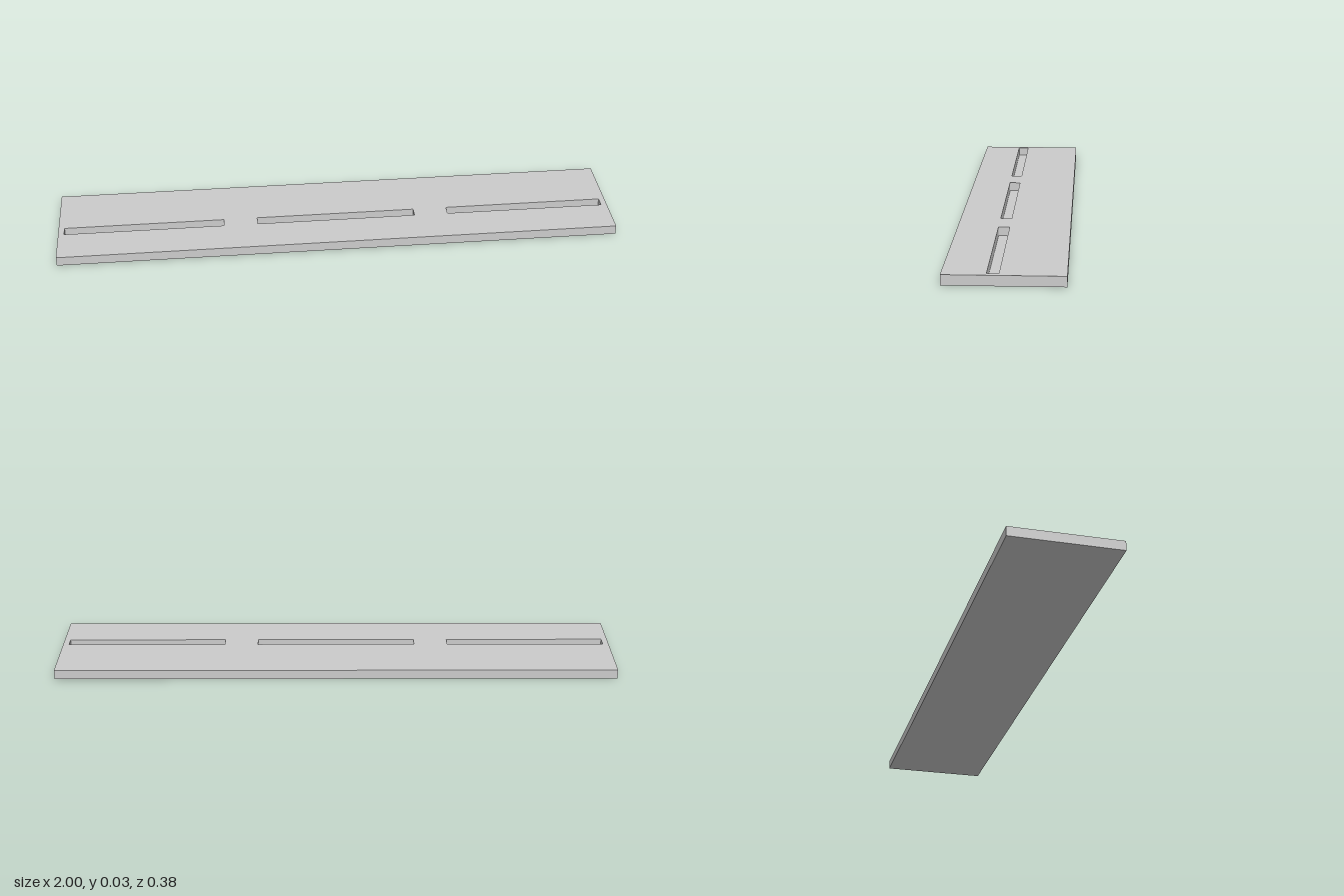
import * as THREE from 'three';

const LENGTH = 2, DEPTH = 0.384, HEIGHT = 0.034, SHEET = 0.003;

function rectangle(target, x0, x1, y0, y1) {
  target.moveTo(x0, y0);
  target.lineTo(x1, y0);
  target.lineTo(x1, y1);
  target.lineTo(x0, y1);
  target.closePath();
  return target;
}

export function createModel() {
  const group = new THREE.Group();
  group.name = 'slottedPlate';
  const material = new THREE.MeshStandardMaterial({ color: 0xcccccc });

  // Slab with three long slots, slightly in front of the centre line
  const outline = rectangle(new THREE.Shape(), -LENGTH / 2, LENGTH / 2, -DEPTH / 2, DEPTH / 2);
  for (const x of [-0.693, 0, 0.693]) {
    outline.holes.push(rectangle(new THREE.Path(), x - 0.286, x + 0.286, -0.053, -0.015));
  }
  const slabGeometry = new THREE.ExtrudeGeometry(outline, { depth: HEIGHT - SHEET, bevelEnabled: false });
  slabGeometry.rotateX(-Math.PI / 2);
  const slab = new THREE.Mesh(slabGeometry, material);
  slab.name = 'slottedSlab';
  slab.position.y = SHEET;
  group.add(slab);

  // Thin bottom sheet that closes the slots
  const sheet = new THREE.Mesh(new THREE.BoxGeometry(LENGTH, SHEET, DEPTH), material);
  sheet.name = 'bottomSheet';
  sheet.position.y = SHEET / 2;
  group.add(sheet);

  return group;
}
